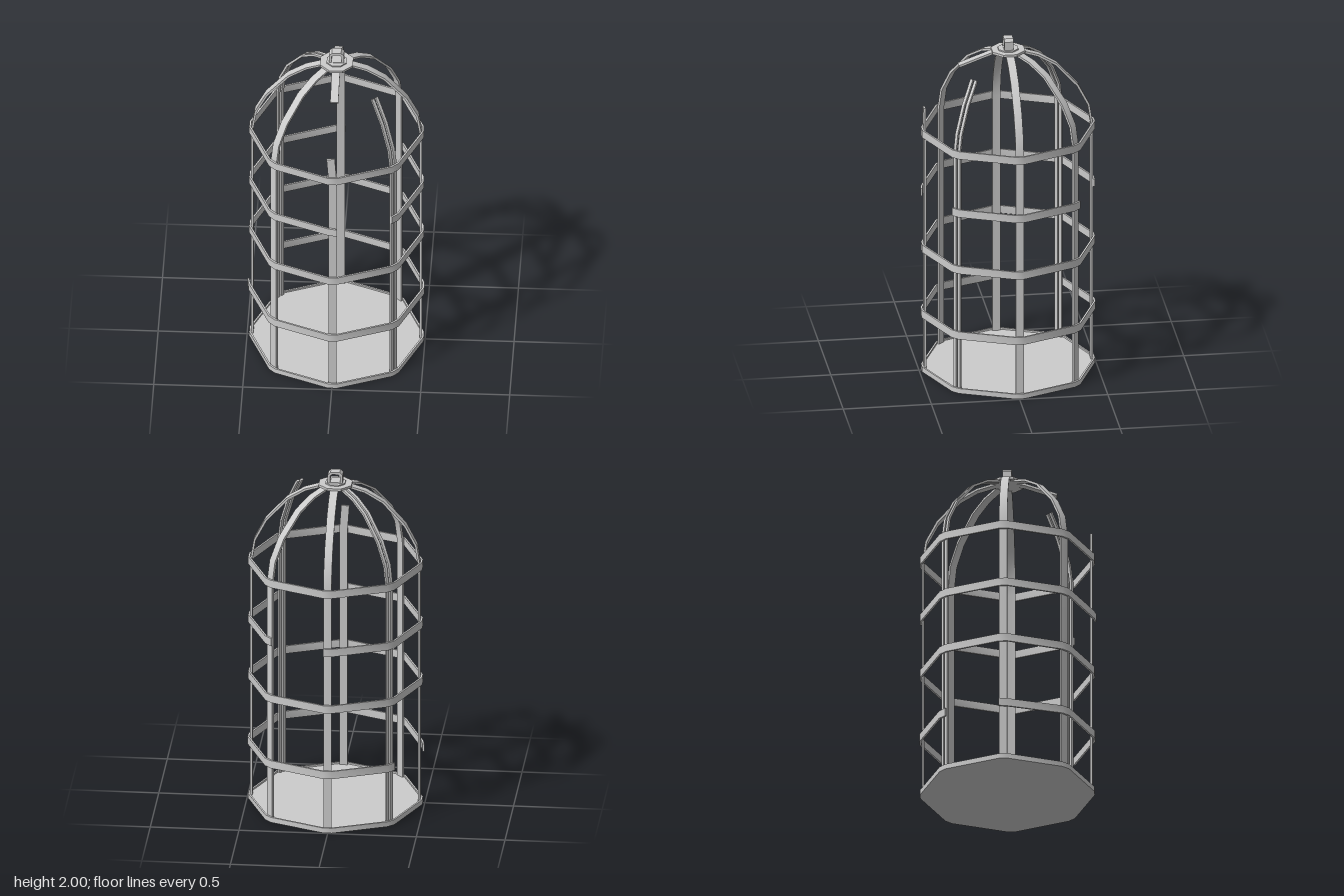
import * as THREE from 'three';
import { toCreasedNormals } from 'three/addons/utils/BufferGeometryUtils.js';

const mat = new THREE.MeshStandardMaterial({ color: 0xcccccc });
const STEP = Math.PI / 4; // eight posts around the cage
const RADIUS = 0.491;
const HOOP_HEIGHT = 0.046;

function extrude(points, depth, holePoints) {
  const shape = new THREE.Shape(points);
  if (holePoints) shape.holes.push(new THREE.Path(holePoints));
  return new THREE.ExtrudeGeometry(shape, { depth, bevelEnabled: false });
}

function addMesh(parent, name, geometry) {
  const mesh = new THREE.Mesh(geometry, mat);
  mesh.name = name;
  parent.add(mesh);
  return mesh;
}

// Octagon with each corner cut by a short flat: two points per post.
function outlinePoint(i, radius) {
  const a = Math.floor(i / 2) * STEP + (i % 2 ? 0.051 : -0.051);
  return new THREE.Vector2(radius * Math.cos(a), -radius * Math.sin(a));
}

const outline = radius => Array.from({ length: 16 }, (_, i) => outlinePoint(i, radius));

// Lay an extruded plan flat at height y
const layFlat = (geo, y) => toCreasedNormals(geo.rotateX(-Math.PI / 2).translate(0, y, 0), 0.5);

// Hoop running from one post to another; loose ends may stick out a little.
function hoopArc(from, to, y, radius, flareStart, flareEnd) {
  const outer = [], inner = [];
  const first = from * 2, last = to * 2 + 1;
  for (let i = first; i <= last; i++) {
    const r = radius + (i === first ? flareStart : i === last ? flareEnd : 0);
    outer.push(outlinePoint(i, r));
    inner.unshift(outlinePoint(i, r - 0.011));
  }
  return layFlat(extrude([...outer, ...inner], HOOP_HEIGHT), y);
}

// Closed hoop; the hole winds against the outline
function hoopFull(y, height) {
  return layFlat(extrude(outline(RADIUS), height, outline(RADIUS - 0.011).reverse()), y);
}

// Flat strap following a (radius, height) profile, turned to its post.
function strap(profile, post, width = 0.046, offset = 0, thickness = 0.013) {
  const pts = profile.map(p => new THREE.Vector2(...p));
  const outer = [], inner = [];
  pts.forEach((p, i) => {
    const t = pts[Math.min(i + 1, pts.length - 1)].clone().sub(pts[Math.max(i - 1, 0)]).normalize();
    const n = new THREE.Vector2(t.y, -t.x).multiplyScalar(thickness / 2);
    outer.push(p.clone().add(n));
    inner.unshift(p.clone().sub(n));
  });
  const geo = extrude([...outer, ...inner], width);
  geo.translate(0, 0, offset - width / 2).rotateY(-post * STEP);
  return toCreasedNormals(geo, 0.5);
}

export function createModel() {
  const model = new THREE.Group();
  const cage = new THREE.Group();
  cage.name = 'cage';
  cage.position.set(0.003, 0, -0.004);
  model.add(cage);

  // Floor plate with rim
  addMesh(cage, 'floor', layFlat(extrude(outline(RADIUS - 0.008), 0.02), 0));
  addMesh(cage, 'floorRim', hoopFull(0, 0.03));

  // Hoops, two of them with missing pieces
  addMesh(cage, 'topHoop', hoopFull(1.425, HOOP_HEIGHT));
  addMesh(cage, 'middleHoop', hoopFull(0.727, HOOP_HEIGHT));
  addMesh(cage, 'brokenHoopSide', hoopArc(7, 9, 1.071, RADIUS, 0, 0));
  addMesh(cage, 'brokenHoopRear', hoopArc(2, 6, 1.071, RADIUS, 0.01, 0));
  const lower = addMesh(cage, 'lowerHoop', hoopArc(5, 12, 0.33, RADIUS + 0.003, 0, 0.01));

  // The loose end of the lower hoop sags slightly
  const pos = lower.geometry.attributes.position;
  for (let i = 0; i < pos.count; i++) {
    if (pos.getX(i) < -0.47) pos.setY(i, pos.getY(i) - 0.007);
  }

  // Straps that rise from the floor and bend into the dome
  const upright = [[0.473, 0.01], [0.473, 1.45]];
  const fullProfile = [...upright, [0.454, 1.57], [0.392, 1.69], [0.27, 1.825], [0.17, 1.885], [0.065, 1.917]];
  for (const post of [0, 3, 4, 6, 7]) addMesh(cage, 'bar', strap(fullProfile, post));

  // Split straps: one whole, one snapped off in the dome
  const snapped = [...upright, [0.455, 1.56], [0.395, 1.71], [0.315, 1.843]];
  for (const side of [-1, 1]) {
    addMesh(cage, 'splitBar', strap(fullProfile, 5, 0.018, side * 0.014));
    addMesh(cage, 'snappedSplitBar', strap(snapped, 1, 0.018, side * 0.014));
  }

  // Front strap, broken into a post with a bent tip and a hanging upper piece
  addMesh(cage, 'brokenFrontBar', strap(upright, 2));
  const tip = addMesh(cage, 'bentTip', strap([[0.473, -0.01], [0.473, 0.145]], 2));
  tip.position.y = 1.45;
  tip.rotation.z = 0.07;
  addMesh(cage, 'brokenFrontBarTop', strap([[0.05, 1.92], [0.1, 1.91], [0.28, 1.844]], 2));

  // Crown plate, boss and hanging loop
  for (const [name, r, h, y] of [['crownPlate', 0.1, 0.014, 1.921], ['crownBoss', 0.06, 0.008, 1.931]]) {
    const disc = addMesh(cage, name, toCreasedNormals(new THREE.CylinderGeometry(r, r, h, 8), 0.5));
    disc.position.y = y;
    disc.rotation.y = Math.PI / 8;
  }
  const arch = (w, bottom, top, c) => [
    [-w, bottom], [w, bottom], [w, top - c], [w - c, top], [c - w, top], [-w, top - c],
  ].map(p => new THREE.Vector2(...p));
  const loop = extrude(arch(0.042, 1.928, 2, 0.016), 0.052, arch(0.028, 1.938, 1.986, 0.01));
  addMesh(cage, 'hangingLoop', loop.translate(0, 0, -0.026));

  return model;
}
